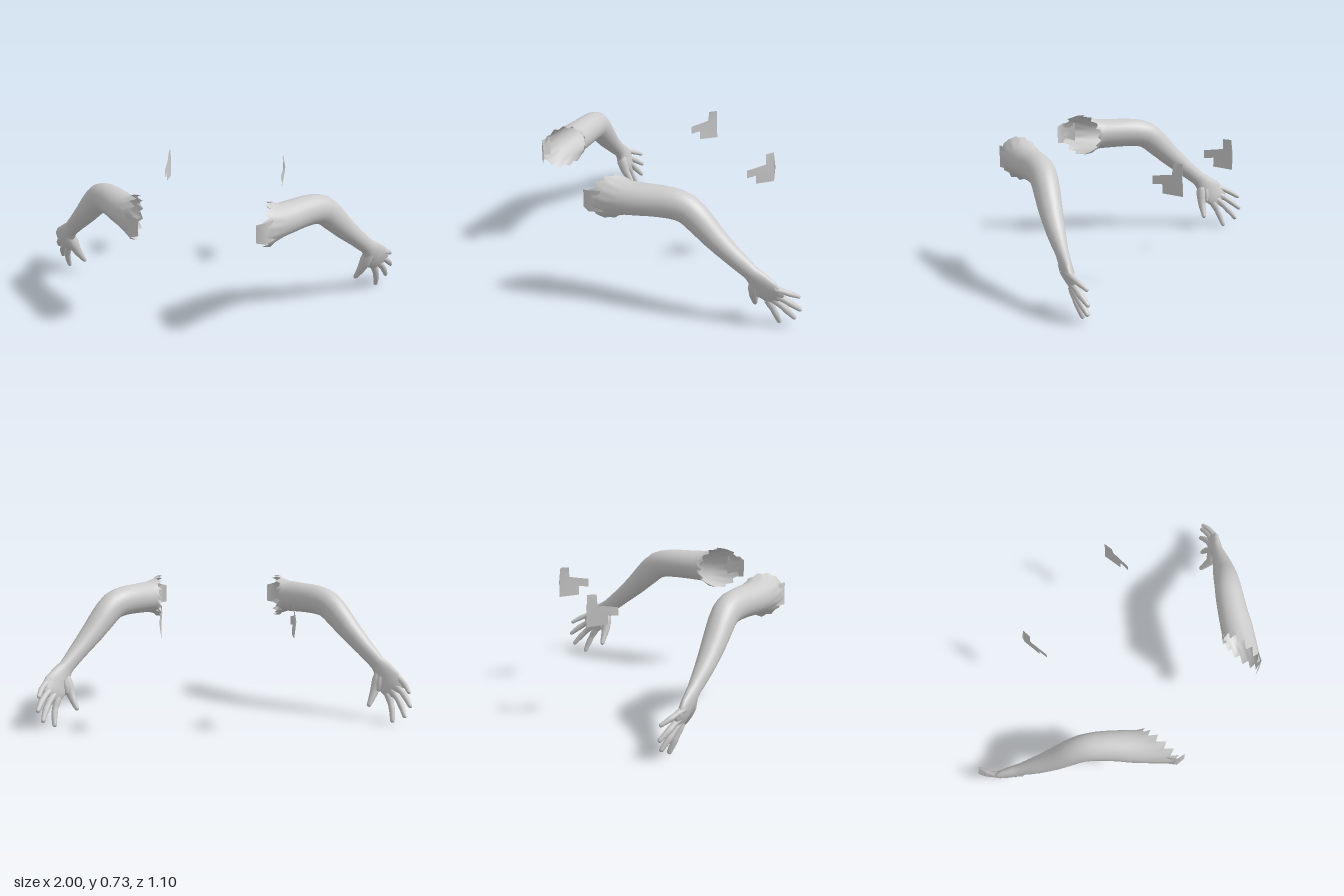
import * as THREE from 'three';

const skin = new THREE.MeshStandardMaterial({ color: 0xcccccc, side: THREE.DoubleSide });
const UP = new THREE.Vector3(0, 1, 0);

// Skin elliptical rings along a path. Station: [x, y, z, half width, half height, roll]
function loft(name, stations, { sides = 12, sub = 2, cutStart = false } = {}) {
  const curve = new THREE.CatmullRomCurve3(stations.map(s => new THREE.Vector3(s[0], s[1], s[2])));
  const segs = stations.length - 1, pos = [], idx = [];
  const ring = (c, T, hw, hv, roll) => {
    const u = T.clone().cross(UP).normalize(), v = u.clone().cross(T).normalize();
    const U = u.clone().multiplyScalar(Math.cos(roll)).addScaledVector(v, -Math.sin(roll));
    const V = v.clone().multiplyScalar(Math.cos(roll)).addScaledVector(u, Math.sin(roll));
    for (let j = 0; j < sides; j++) {
      const a = (j / sides) * Math.PI * 2;
      const p = c.clone().addScaledVector(U, hw * Math.cos(a)).addScaledVector(V, hv * Math.sin(a));
      pos.push(p.x, p.y, p.z);
    }
  };
  let end;
  for (let i = 0; i <= segs * sub; i++) {
    const f = i / sub, k = Math.min(Math.floor(f), segs - 1), w = f - k;
    const val = n => THREE.MathUtils.lerp(stations[k][n] ?? 0, stations[k + 1][n] ?? 0, w);
    const c = curve.getPoint(f / segs), T = curve.getTangent(f / segs);
    // the cut end turns gradually to face sideways
    if (cutStart) T.lerp(new THREE.Vector3(1, 0, 0), Math.max(0, 1 - f / 1.5)).normalize();
    ring(c, T, val(3), val(4), val(5));
    end = [c, T, val(3), val(4), val(5)];
  }
  // rounded tip
  const [c, T, hw, hv, roll] = end, r = Math.min(hw, hv);
  for (const a of [0.5, 1.0, Math.PI / 2]) {
    const s = Math.cos(a);
    ring(c.clone().addScaledVector(T, r * Math.sin(a)), T, hw * s, hv * s, roll);
  }
  // torn edge: every other corner sticks out
  if (cutStart) {
    for (let j = 0; j < sides; j++) {
      const out = j % 2 === 0;
      pos[j * 3] += out ? -0.012 : 0.024;
      if (!out) pos[j * 3 + 2] -= 0.012;
    }
  }
  const rings = pos.length / 3 / sides;
  for (let i = 0; i < rings - 1; i++) {
    for (let j = 0; j < sides; j++) {
      const a = i * sides + j, b = i * sides + (j + 1) % sides;
      idx.push(a, a + sides, b, b, a + sides, b + sides);
    }
  }
  return finish(name, pos, idx);
}

function finish(name, pos, idx) {
  const g = new THREE.BufferGeometry();
  g.setAttribute('position', new THREE.Float32BufferAttribute(pos, 3));
  g.setIndex(idx);
  g.computeVertexNormals();
  const mesh = new THREE.Mesh(g, skin);
  mesh.name = name;
  return mesh;
}

// Thin patch outlined in (z, y), with x set by a rule
function patch(name, outline, xRule) {
  const g = new THREE.ShapeGeometry(new THREE.Shape(outline.map(p => new THREE.Vector2(...p))));
  const p = g.attributes.position;
  for (let i = 0; i < p.count; i++) {
    const z = p.getX(i), y = p.getY(i);
    p.setXYZ(i, xRule(z, y), y, z);
  }
  g.computeVertexNormals();
  const mesh = new THREE.Mesh(g, skin);
  mesh.name = name;
  return mesh;
}

// Finger from knuckle to tip, bending slightly through the joints
function finger(name, base, tip, r) {
  const a = new THREE.Vector3(...base), b = new THREE.Vector3(...tip);
  const radii = [1.2, 1.15, 0.95, 1.0, 0.85, 0.7];
  return loft(name, radii.map((k, i) => {
    const t = i / (radii.length - 1), p = a.clone().lerp(b, t * 0.96);
    const bow = Math.sin(t * Math.PI) * 0.008;
    return [p.x + bow, p.y + bow * 0.3, p.z, r * k, r * k];
  }), { sides: 10 });
}

function buildArm() {
  const arm = new THREE.Group();
  // upper arm, elbow, forearm, wrist and palm in one skin
  arm.add(loft('armAndPalm', [
    [0.340, 0.617, 0.414, 0.125, 0.117],
    [0.405, 0.620, 0.343, 0.090, 0.088],
    [0.480, 0.621, 0.248, 0.081, 0.083],
    [0.551, 0.618, 0.165, 0.076, 0.081],
    [0.606, 0.598, 0.108, 0.071, 0.078],
    [0.661, 0.536, 0.056, 0.067, 0.072],
    [0.715, 0.466, 0.006, 0.061, 0.062],
    [0.787, 0.380, -0.064, 0.048, 0.050],
    [0.850, 0.303, -0.133, 0.033, 0.044, 0.1],
    [0.878, 0.262, -0.165, 0.031, 0.060, 0.25],
    [0.902, 0.217, -0.198, 0.028, 0.077, 0.36],
    [0.924, 0.184, -0.228, 0.022, 0.070, 0.4],
    [0.934, 0.167, -0.244, 0.014, 0.058, 0.4],
  ], { sides: 28, sub: 2, cutStart: true }));

  // hand
  arm.add(finger('indexFinger', [0.893, 0.150, -0.212], [0.910, 0.008, -0.281], 0.0175));
  arm.add(finger('middleFinger', [0.915, 0.170, -0.226], [0.965, 0.046, -0.338], 0.0175));
  arm.add(finger('ringFinger', [0.930, 0.200, -0.226], [0.990, 0.105, -0.354], 0.017));
  arm.add(finger('littleFinger', [0.943, 0.239, -0.215], [0.983, 0.180, -0.346], 0.015));
  arm.add(loft('thumb', [
    [0.864, 0.258, -0.148, 0.025, 0.030],
    [0.848, 0.210, -0.155, 0.030, 0.034],
    [0.830, 0.160, -0.166, 0.024, 0.026],
    [0.812, 0.118, -0.183, 0.018, 0.019],
    [0.795, 0.085, -0.197, 0.013, 0.013],
  ]));
  arm.add(loft('thumbWeb', [
    [0.872, 0.230, -0.170, 0.020, 0.034],
    [0.862, 0.195, -0.178, 0.020, 0.032],
    [0.853, 0.168, -0.184, 0.013, 0.022],
  ]));

  // loose flap at the front of the torn shoulder
  arm.add(finish('shoulderFlap', [
    0.302, 0.565, 0.545, 0.302, 0.662, 0.545,
    0.350, 0.556, 0.535, 0.350, 0.676, 0.535,
    0.388, 0.560, 0.475, 0.388, 0.675, 0.475,
  ], [0, 2, 1, 1, 2, 3, 2, 4, 3, 3, 4, 5]));

  // detached scrap behind, bulging outward at mid height
  arm.add(patch('backScrap', [
    [-0.38, 0.560], [-0.435, 0.567], [-0.437, 0.517], [-0.55, 0.511],
    [-0.548, 0.600], [-0.542, 0.680], [-0.492, 0.680], [-0.49, 0.622], [-0.38, 0.605],
  ], (z, y) => 0.338 + (0.010 - 1.8 * (y - 0.59) ** 2) * (-z - 0.38) / 0.17));
  return arm;
}

export function createModel() {
  const model = new THREE.Group();
  const left = buildArm(), right = buildArm();
  left.name = 'leftArm';
  right.name = 'rightArm';
  right.scale.x = -1;
  model.add(left, right);
  return model;
}
